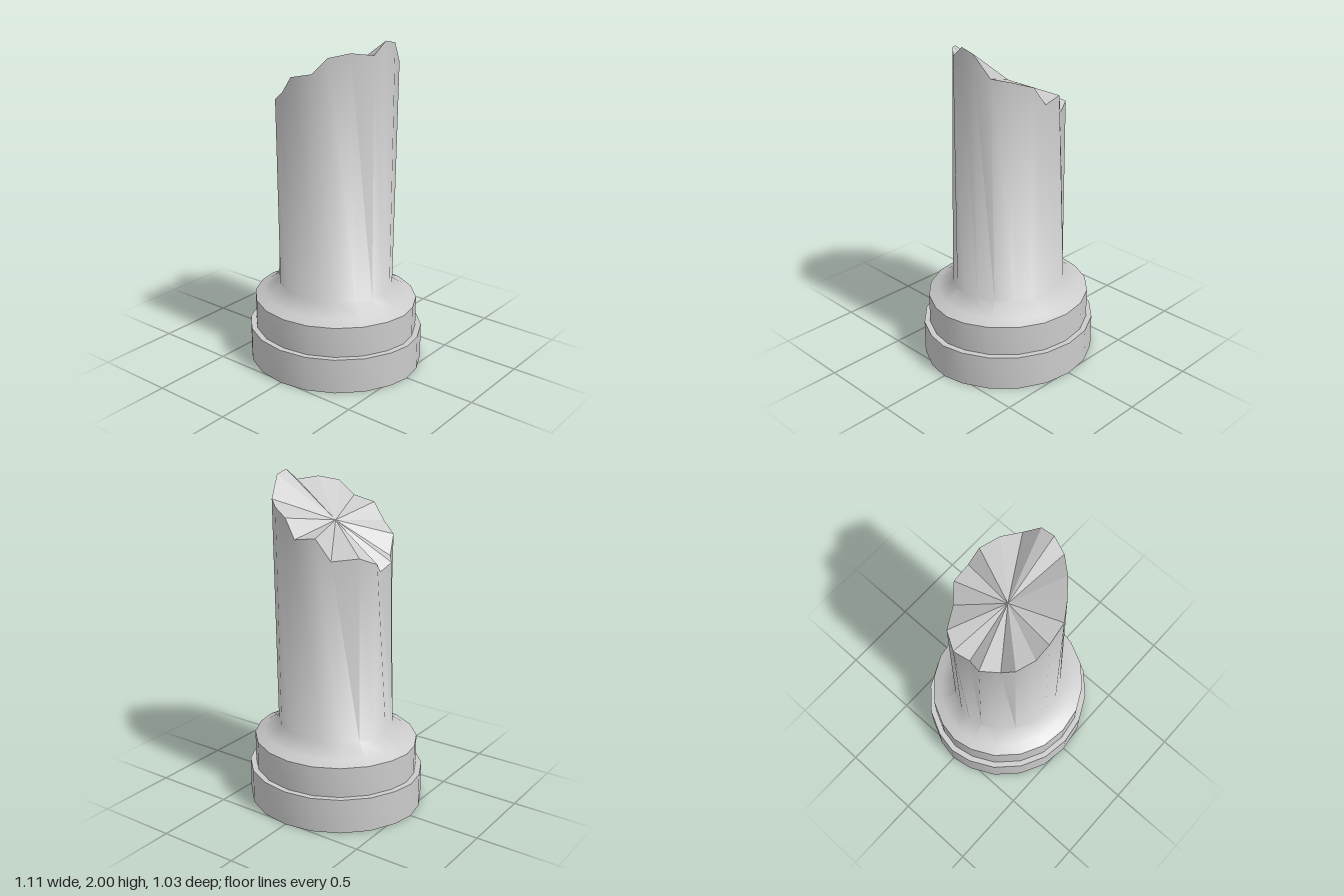
import * as THREE from 'three';
import { toCreasedNormals } from 'three/addons/utils/BufferGeometryUtils.js';

// One quarter of the slightly uneven 20-sided ring, mirrored into a full turn
const QUARTER = [[1, 0], [0.954, 0.262], [0.818, 0.553], [0.59, 0.796], [0.309, 0.95], [0, 1]];
const SIDES = 20;
const UNIT = Array.from({ length: SIDES }, (_, k) => {
  const half = k % 10;
  const [c, s] = half <= 5 ? QUARTER[half] : [-QUARTER[10 - half][0], QUARTER[10 - half][1]];
  return k < 10 ? [c, s] : [-c, -s];
});

// Broken rim, one [x, height] per side; its z follows the shaft ring
const RIM = [
  [0.355, 2.0], [0.34, 1.93], [0.255, 1.945], [0.16, 1.92], [0.085, 1.83],
  [-0.05, 1.8], [-0.13, 1.7], [-0.23, 1.64], [-0.26, 1.53], [-0.33, 1.52],
  [-0.31, 1.48], [-0.345, 1.545], [-0.29, 1.59], [-0.155, 1.57], [-0.085, 1.7],
  [0.045, 1.68], [0.12, 1.79], [0.23, 1.83], [0.32, 1.855], [0.355, 1.98],
];
const SHAFT_Z = 0.33;
const CENTRE_HEIGHT = 1.74;

const ring = (rx, rz, y) => UNIT.map(([c, s]) => [rx * c, y, rz * s]);

function geometryFrom(points, index) {
  const geometry = new THREE.BufferGeometry();
  geometry.setAttribute('position', new THREE.Float32BufferAttribute(points.flat(), 3));
  geometry.setIndex(index);
  return geometry;
}

// Skin through a stack of rings, open at both ends
function loft(rings) {
  const index = [];
  for (let j = 0; j < rings.length - 1; j++) {
    for (let k = 0; k < SIDES; k++) {
      const n = (k + 1) % SIDES;
      const a = j * SIDES + k, d = j * SIDES + n;
      index.push(a, a + SIDES, d + SIDES, a, d + SIDES, d);
    }
  }
  return toCreasedNormals(geometryFrom(rings.flat(), index), 1.04);
}

export function createModel() {
  const group = new THREE.Group();
  group.name = 'brokenColumn';
  const material = new THREE.MeshStandardMaterial({ color: 0xcccccc, side: THREE.DoubleSide });
  const add = (name, geometry, mat = material) => {
    const mesh = new THREE.Mesh(geometry, mat);
    mesh.name = name;
    group.add(mesh);
  };

  // Wide foot with its narrow ledge, hollow underneath
  add('foot', loft([ring(0.553, 0.516, 0), ring(0.553, 0.516, 0.215), ring(0.517, 0.482, 0.215)]));

  // Straight collar above the foot
  add('collar', loft([ring(0.517, 0.482, 0.215), ring(0.517, 0.482, 0.4)]));

  // Sloped shoulder running into the shaft, up to the broken rim
  const rim = RIM.map(([x, y], k) => [x, y, SHAFT_Z * UNIT[k][1]]);
  add('shaft', loft([
    ring(0.517, 0.482, 0.4), ring(0.46, 0.425, 0.427), ring(0.367, SHAFT_Z, 0.49), rim,
  ]));

  // Faceted fracture surface fanning out from the centre
  const fan = [];
  for (let k = 0; k < SIDES; k++) fan.push(SIDES, (k + 1) % SIDES, k);
  const fracture = geometryFrom([...rim, [0, CENTRE_HEIGHT, 0]], fan).toNonIndexed();
  fracture.computeVertexNormals();
  add('fracture', fracture, new THREE.MeshStandardMaterial({
    color: 0xcccccc, flatShading: true, side: THREE.DoubleSide,
  }));

  return group;
}
